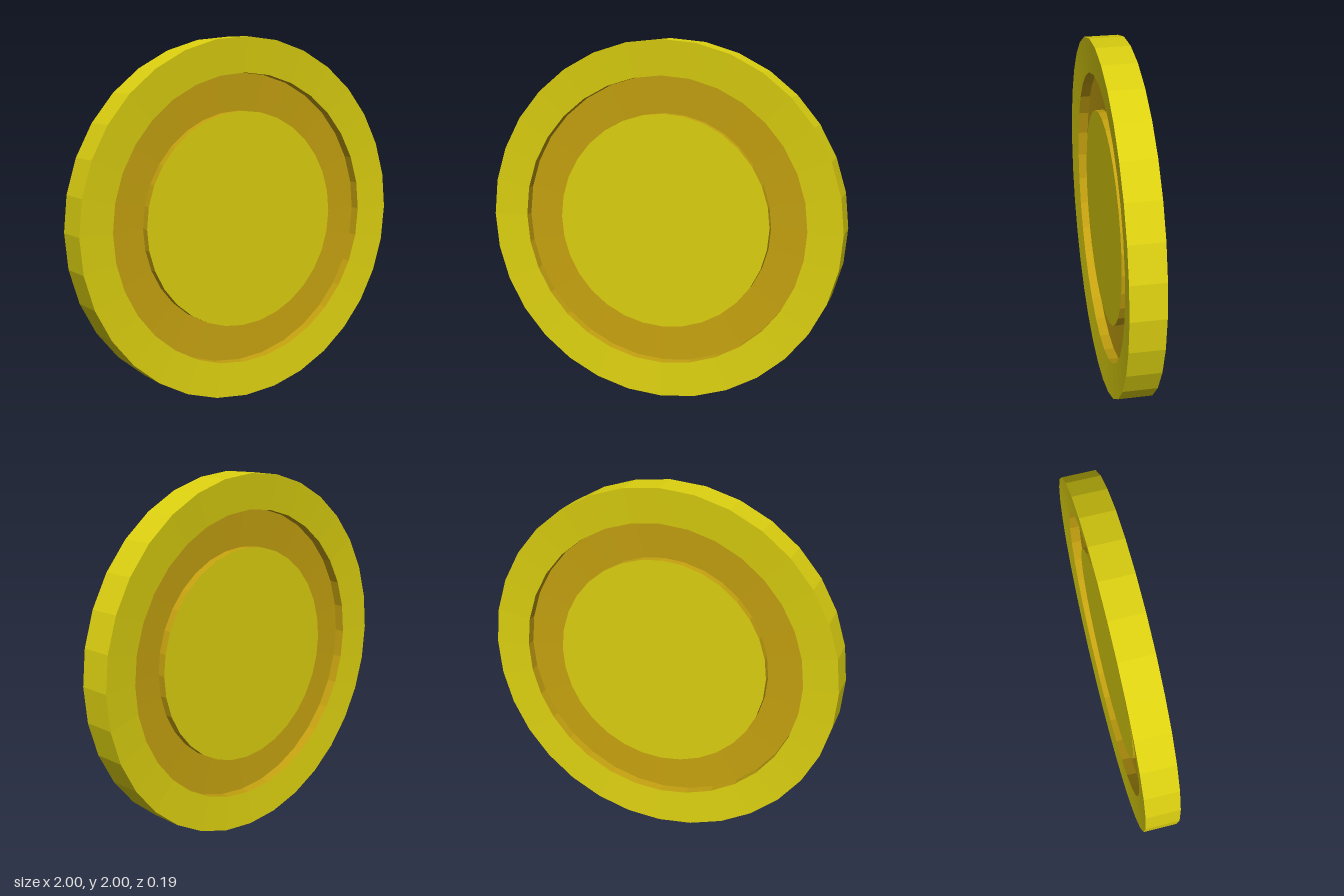
import * as THREE from 'three';

const SIDES = 32;
const RIM_Z = 0.0925, LIP_Z = 0.078, DISC_Z = 0.058;
const GROOVE_OUTER_Z = 0.022, GROOVE_INNER_Z = 0.013;
const LIP_R = 0.807, DISC_R = 0.6;

const gold = new THREE.MeshStandardMaterial({ color: 0xdcd010, flatShading: true });
const amber = new THREE.MeshStandardMaterial({ color: 0xc6a210, flatShading: true });

// Revolve [radius, z] pairs around the z axis into a faceted ring
function ring(name, profile, material) {
  const points = profile.map(([r, z]) => new THREE.Vector2(r, z));
  const geometry = new THREE.LatheGeometry(points, SIDES).rotateX(Math.PI / 2).toNonIndexed();
  geometry.computeVertexNormals();
  const mesh = new THREE.Mesh(geometry, material);
  mesh.name = name;
  return mesh;
}

export function createModel() {
  const coin = new THREE.Group();
  coin.name = 'coin';

  // Outer rim, its faces dipping slightly towards the groove
  coin.add(ring('rim', [[LIP_R, -LIP_Z], [1, -RIM_Z], [1, RIM_Z], [LIP_R, LIP_Z]], gold));

  // Recessed groove with both of its walls, on the front
  const groove = [[LIP_R, LIP_Z], [LIP_R, GROOVE_OUTER_Z], [DISC_R, GROOVE_INNER_Z], [DISC_R, DISC_Z]];
  const frontGroove = ring('frontGroove', groove, amber);

  // Raised central disc
  const frontDisc = new THREE.Mesh(new THREE.CircleGeometry(DISC_R, SIDES), gold);
  frontDisc.name = 'frontDisc';
  frontDisc.position.z = DISC_Z;

  // The back repeats the front
  const backGroove = frontGroove.clone();
  backGroove.name = 'backGroove';
  backGroove.rotation.y = Math.PI;
  const backDisc = frontDisc.clone();
  backDisc.name = 'backDisc';
  backDisc.rotation.y = Math.PI;
  backDisc.position.z = -DISC_Z;

  coin.add(frontGroove, frontDisc, backGroove, backDisc);
  coin.position.y = 1;

  const model = new THREE.Group();
  model.add(coin);
  return model;
}
